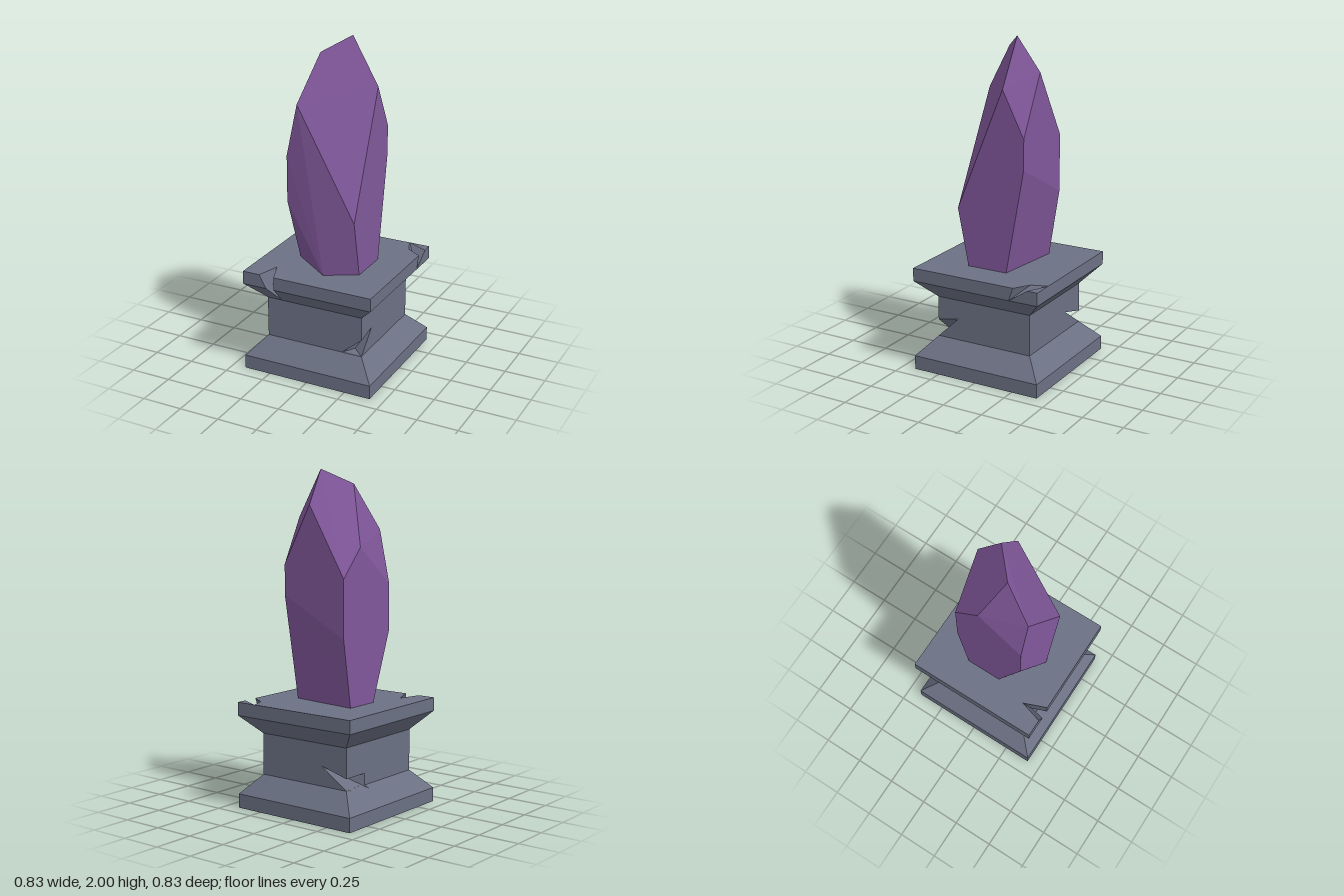
import * as THREE from 'three';
import { ConvexGeometry } from 'three/addons/geometries/ConvexGeometry.js';

const V = (p) => new THREE.Vector3(...p);
const hull = (points) => new ConvexGeometry(points.map(V));
const planeOf = (p) => new THREE.Plane().setFromCoplanarPoints(p[0], p[1], p[2]);

// Cut a convex polygon by a plane, keeping the side with sign * distance >= 0
function clip(poly, plane, sign, offset) {
  const out = [];
  poly.forEach((a, i) => {
    const b = poly[(i + 1) % poly.length];
    const da = sign * (plane.distanceToPoint(a) - offset);
    const db = sign * (plane.distanceToPoint(b) - offset);
    if (da >= 0) out.push(a);
    if (da * db < 0) out.push(a.clone().lerp(b, da / (da - db)));
  });
  return out.length > 2 ? out : [];
}

// Pieces of a polygon that lie outside a convex chip
function outside(poly, planes) {
  const pieces = [];
  let rest = poly;
  for (const plane of planes) {
    if (!rest.length) break;
    const piece = clip(rest, plane, 1, 1e-4);
    if (piece.length) pieces.push(piece);
    rest = clip(rest, plane, -1, 1e-4);
  }
  return pieces;
}

function trianglesOf(geometry) {
  const pos = geometry.getAttribute('position');
  const tris = [];
  for (let i = 0; i < pos.count; i += 3) {
    const tri = [0, 1, 2].map((k) => new THREE.Vector3().fromBufferAttribute(pos, i + k));
    if (new THREE.Triangle(...tri).getArea() > 1e-7) tris.push(tri);
  }
  return tris;
}

// Square pedestal profile: half width, height
const PROFILE = [[0.415, 0], [0.415, 0.085], [0.31, 0.2], [0.31, 0.45], [0.415, 0.56], [0.415, 0.64]];

// Broken chips taken out of the stone
const CHIPS = [
  // front edge of the top slab
  [[-0.305, 0.64, 0.415], [-0.265, 0.64, 0.275], [-0.21, 0.64, 0.415],
    [-0.215, 0.45, 0.31], [-0.26, 0.56, 0.415], [-0.21, 0.56, 0.415]],
  // groove across the back corner of the top slab
  [[0.285, 0.64, -0.415], [0.32, 0.64, -0.32], [0.415, 0.64, -0.26],
    [0.415, 0.64, -0.35], [0.415, 0.56, -0.23], [0.345, 0.6, -0.33]],
  // front corner of the column
  [[0.185, 0.2, 0.31], [0.31, 0.305, 0.31], [0.31, 0.33, 0.175],
    [0.31, 0.2, 0.31], [0.235, 0.205, 0.24]],
  // back corner of the column
  [[-0.13, 0.32, -0.31], [-0.31, 0.27, -0.31], [-0.31, 0.27, -0.14],
    [-0.31, 0.2, -0.31], [-0.328, 0.18, -0.12], [-0.25, 0.23, -0.24]],
];

function pedestalGeometry() {
  const ring = ([r, y]) => [[-r, y, r], [r, y, r], [r, y, -r], [-r, y, -r]].map(V);
  let faces = [];
  const bands = [];
  for (let i = 0; i < PROFILE.length - 1; i++) {
    const lo = ring(PROFILE[i]), hi = ring(PROFILE[i + 1]);
    const sides = lo.map((p, k) => [p, lo[(k + 1) % 4], hi[(k + 1) % 4], hi[k]]);
    const bottom = [...lo].reverse();
    bands.push([...sides, bottom, hi].map(planeOf));
    faces.push(...sides);
    if (i === 0) faces.push(bottom);
    if (i === PROFILE.length - 2) faces.push(hi);
  }
  const walls = [];
  for (const chip of CHIPS) {
    const tris = trianglesOf(hull(chip));
    const planes = tris.map(planeOf);
    faces = faces.flatMap((f) => outside(f, planes));
    // inner walls of the chip, limited to the solid stone
    for (const tri of tris) {
      for (const band of bands) {
        const wall = band.reduce((p, plane) => clip(p, plane, -1, -1e-4), tri);
        if (wall.length) walls.push([...wall].reverse());
      }
    }
  }
  const points = [];
  for (const f of [...faces, ...walls]) {
    for (let k = 1; k < f.length - 1; k++) points.push(f[0], f[k], f[k + 1]);
  }
  const geometry = new THREE.BufferGeometry().setFromPoints(points);
  geometry.computeVertexNormals();
  return geometry;
}

// Faceted crystal as the hull of its corners
const CRYSTAL = [
  // tip
  [0.055, 2, -0.08], [-0.085, 1.915, 0.05],
  // shoulders
  [-0.148, 1.645, 0.222], [-0.217, 1.56, -0.06], [0.217, 1.72, -0.078], [0.03, 1.8, -0.215],
  // front corners
  [0.217, 0.985, 0.224], [-0.217, 1.05, 0.222], [-0.217, 1.33, 0.222],
  // back corners
  [0.217, 1.45, -0.215], [0.217, 1.27, -0.215], [-0.217, 1.39, -0.215], [-0.217, 1.045, -0.215],
  // foot
  [0.03, 0.639, 0.254], [0.217, 0.639, 0.155], [0.217, 0.639, -0.1],
  [-0.217, 0.639, -0.15], [-0.217, 0.639, 0.07],
];

export function createModel() {
  const stone = new THREE.MeshStandardMaterial({ color: 0x6b7083 });
  stone.name = 'greyStone';
  const purple = new THREE.MeshStandardMaterial({ color: 0x80579a });
  purple.name = 'purpleCrystal';

  const group = new THREE.Group();
  group.name = 'crystalOnPedestal';
  const add = (name, geometry, material) => {
    const mesh = new THREE.Mesh(geometry, material);
    mesh.name = name;
    group.add(mesh);
  };
  add('pedestal', pedestalGeometry(), stone);
  add('crystal', hull(CRYSTAL), purple);
  return group;
}
